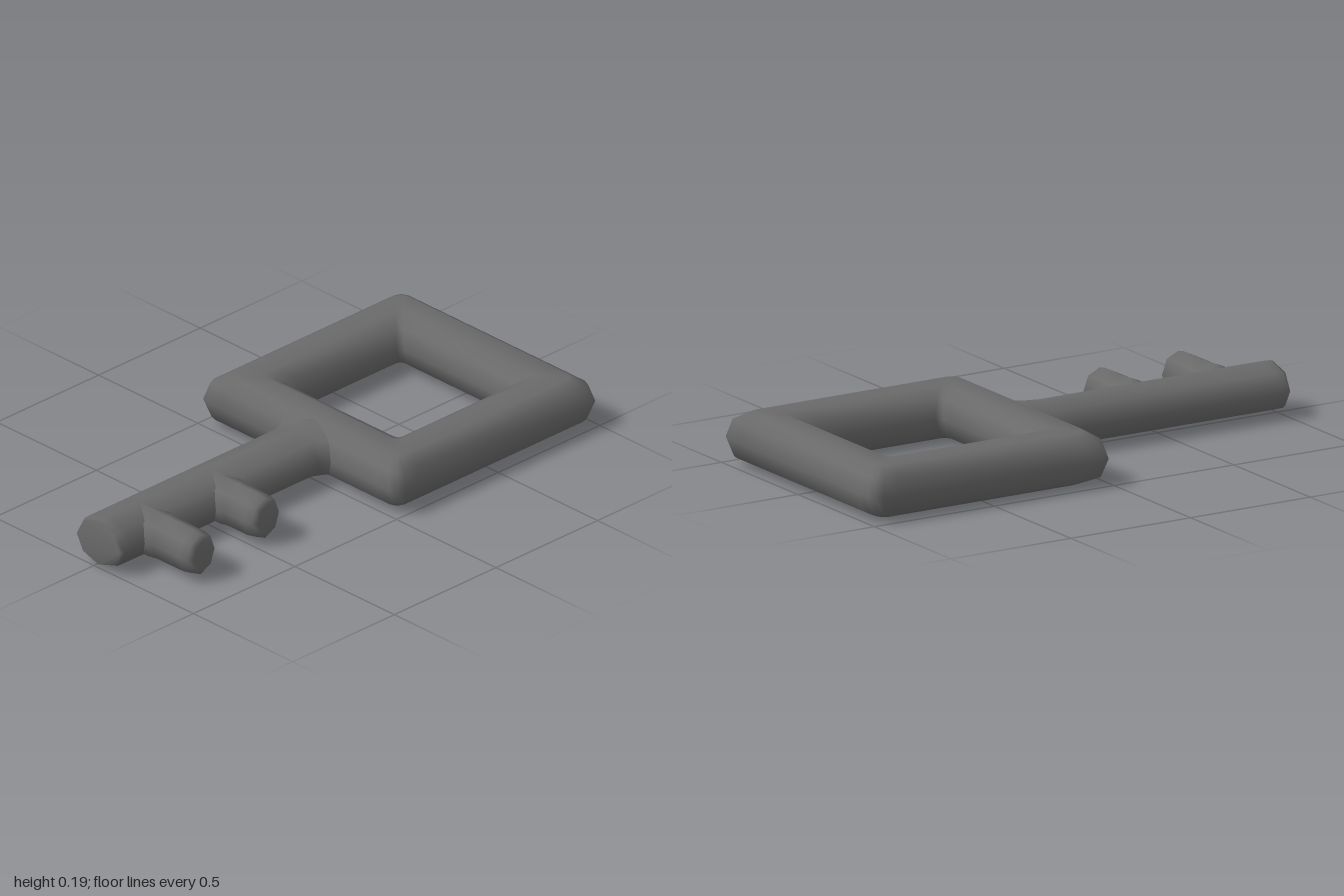
import * as THREE from 'three';

const MID_Y = 0.099;
const material = new THREE.MeshStandardMaterial({ color: 0x6a6a6a });

// Unit outlines: an octagon for the rods, a fuller flat-topped one for the bow
const OCTAGON = Array.from({ length: 8 }, (_, j) => {
  const a = (j / 8) * Math.PI * 2;
  return [Math.cos(a), Math.sin(a)];
});
const FULL = [
  [1, 0], [0.84, 0.68], [0.42, 1], [-0.35, 1], [-0.82, 0.68],
  [-1, 0], [-0.82, -0.68], [-0.3, -1], [0.3, -1], [0.82, -0.7],
];

// Skin over a list of cross-sections; closed loops join last to first
function skin(rows, closed) {
  const n = rows.length;
  const sides = rows[0].length;
  const index = [];
  for (let i = 0; i < (closed ? n : n - 1); i++) {
    const a = i * sides, b = ((i + 1) % n) * sides;
    for (let j = 0; j < sides; j++) {
      const k = (j + 1) % sides;
      index.push(a + j, a + k, b + k, a + j, b + k, b + j);
    }
  }
  if (!closed) {
    // fan caps on both ends
    const end = (n - 1) * sides;
    for (let j = 1; j < sides - 1; j++) {
      index.push(0, j + 1, j, end, end + j, end + j + 1);
    }
  }
  const g = new THREE.BufferGeometry();
  g.setAttribute('position', new THREE.Float32BufferAttribute(rows.flat(2), 3));
  g.setIndex(index);
  g.computeVertexNormals();
  return g;
}

// Rod along +z from rows of [z, half width, half height]
function rod(profile) {
  return skin(profile.map(([z, rx, ry]) => OCTAGON.map(([c, s]) => [c * rx, s * ry, z])), false);
}

// Square frame: the cross-section swept around four softened corners
function squareFrame(half, width, height) {
  const corner = [[0, 2.5], [0, 1], [0.28, 0.28], [1, 0], [2.5, 0]];
  const rows = [];
  for (let q = 0; q < 4; q++) {
    for (const [u, v] of corner) {
      rows.push(FULL.map(([c, s]) => {
        const h = half + c * width;
        const cut = 0.03 + c * 0.01;
        let x = h - u * cut, z = h - v * cut;
        for (let r = 0; r < q; r++) [x, z] = [-z, x];
        return [x, s * height, z];
      }));
    }
  }
  return skin(rows, true);
}

export function createModel() {
  const key = new THREE.Group();
  key.name = 'key';

  const add = (name, geometry, x, y, z) => {
    const mesh = new THREE.Mesh(geometry, material);
    mesh.name = name;
    mesh.position.set(x, y, z);
    key.add(mesh);
  };

  // Square bow
  add('bow', squareFrame(0.384, 0.115, 0.097), 0, MID_Y, -0.502);

  // Shaft, flaring where it meets the bow
  add('shaft', rod([
    [-0.12, 0.22, 0.094], [-0.05, 0.19, 0.094], [-0.008, 0.148, 0.092],
    [0.03, 0.12, 0.092], [0.08, 0.118, 0.092], [0.95, 0.118, 0.092],
    [0.985, 0.117, 0.091], [1, 0.108, 0.084],
  ]), 0.021, MID_Y, 0);

  // Two teeth on the left of the shaft: [name, centre z, tip x]
  for (const [name, z, tip] of [['upperTooth', 0.45, 0.313], ['lowerTooth', 0.8, 0.347]]) {
    const tooth = rod([
      [0.03, 0.075, 0.09], [0.1, 0.085, 0.087], [0.135, 0.087, 0.086], [0.165, 0.075, 0.086],
      [tip - 0.05, 0.074, 0.086], [tip - 0.015, 0.068, 0.079], [tip, 0.05, 0.06],
    ]).rotateY(Math.PI / 2);
    add(name, tooth, 0, MID_Y, z);
  }

  return key;
}
